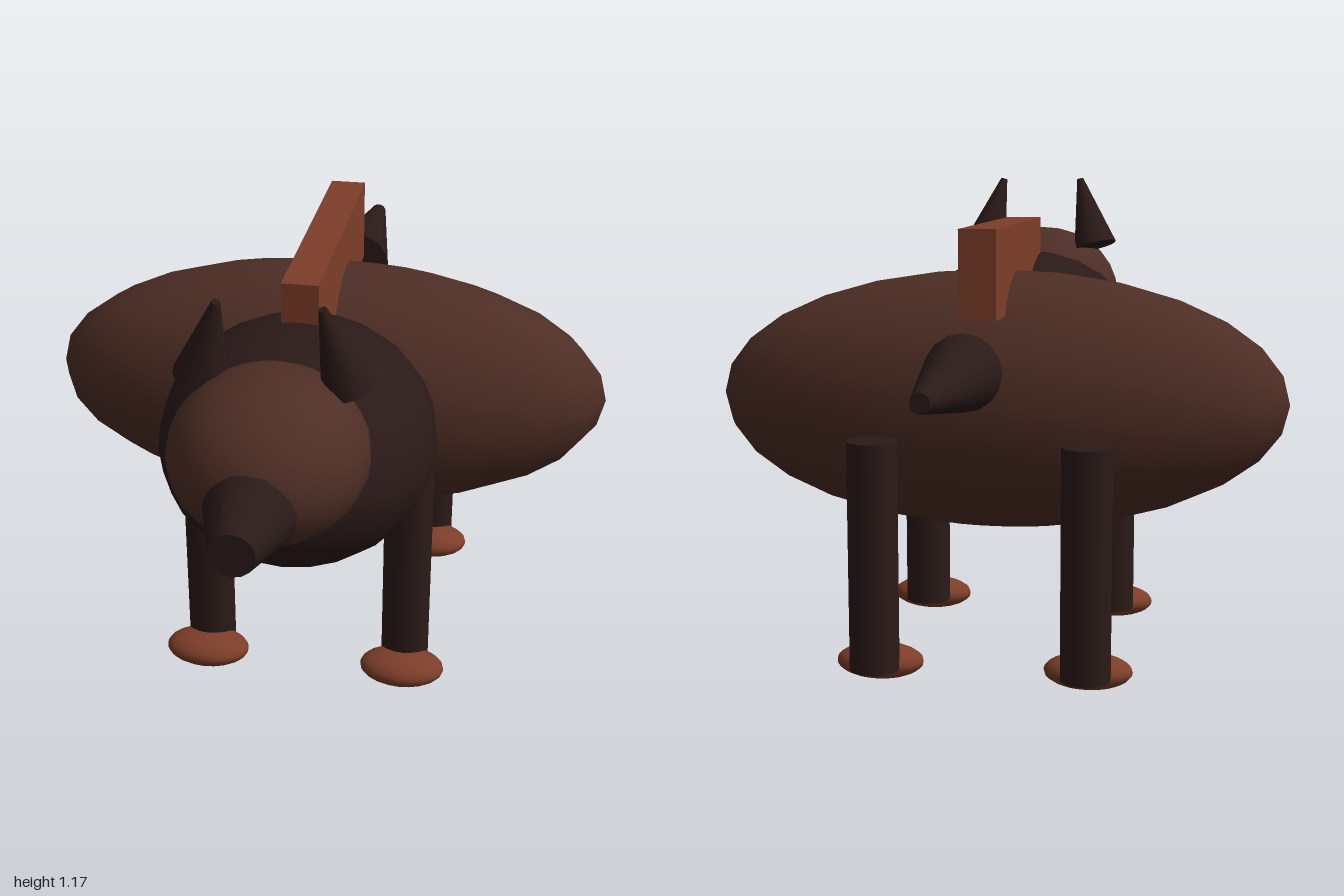
import * as THREE from 'three';

const brown = new THREE.MeshStandardMaterial({ color: 0x4e2e25 });
const dark = new THREE.MeshStandardMaterial({ color: 0x2a1a18 });
const rust = new THREE.MeshStandardMaterial({ color: 0x7d3e29 });

export function createModel() {
  const model = new THREE.Group();
  model.name = 'wingedBeast';

  const add = (name, geometry, material, position) => {
    const mesh = new THREE.Mesh(geometry, material);
    mesh.name = name;
    mesh.position.set(...position);
    model.add(mesh);
    return mesh;
  };

  const ellipsoid = (name, material, position, radii) =>
    add(name, new THREE.SphereGeometry(1, 20, 14), material, position).scale.set(...radii);

  // Capped round bar from one point to another, tapering from r0 to r1
  const bar = (name, from, to, r0, r1) => {
    const a = new THREE.Vector3(...from);
    const b = new THREE.Vector3(...to);
    const dir = b.clone().sub(a);
    const geometry = new THREE.CylinderGeometry(r1, r0, dir.length(), 16);
    const mesh = add(name, geometry, dark, a.add(b).multiplyScalar(0.5).toArray());
    mesh.quaternion.setFromUnitVectors(new THREE.Vector3(0, 1, 0), dir.normalize());
  };

  // Trunk
  ellipsoid('body', brown, [0, 0.645, -0.105], [0.7, 0.315, 0.26]);
  ellipsoid('chest', dark, [0, 0.7, 0.31], [0.322, 0.28, 0.345]);
  add('backRidge', new THREE.BoxGeometry(0.086, 0.205, 0.69), rust, [0, 0.968, -0.06]);

  // Head and tail
  ellipsoid('head', brown, [0, 0.843, 0.645], [0.215, 0.185, 0.224]);
  bar('snout', [0, 0.814, 0.76], [0, 0.814, 1], 0.12, 0.048);
  bar('tail', [0, 0.772, -0.577], [0, 0.772, -1], 0.086, 0.021);

  for (const side of [1, -1]) {
    const label = side > 0 ? 'left' : 'right';
    bar(label + 'Ear', [side * 0.157, 0.98, 0.577], [side * 0.109, 1.165, 0.617], 0.06, 0.009);

    // Legs, each with a flat oval foot set forward of it
    for (const [end, z] of [['Front', 0.205], ['Back', -0.397]]) {
      bar(label + end + 'Leg', [side * 0.249, 0.04, z], [side * 0.249, 0.585, z], 0.059, 0.059);
      ellipsoid(label + end + 'Foot', rust, [side * 0.249, 0.043, z + 0.057], [0.105, 0.041, 0.069]);
    }
  }

  return model;
}
